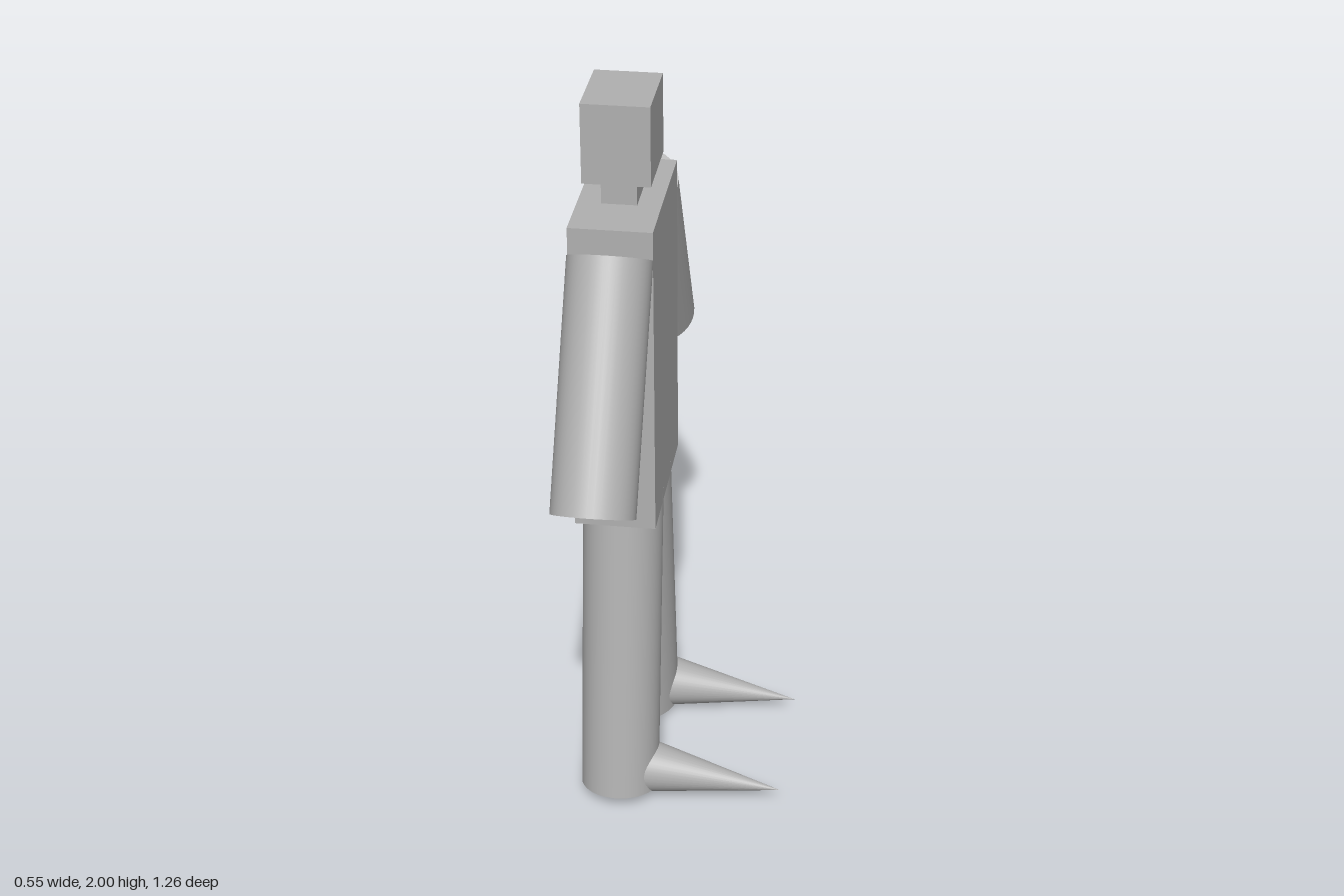
import * as THREE from 'three';

const CX = -0.174; // centre line of the figure, which walks toward +x

export function createModel() {
  const model = new THREE.Group();
  model.name = 'figure';
  const gray = new THREE.MeshStandardMaterial({ color: 0xb0b0b0 });
  gray.name = 'plain gray';

  // Upright box centred on the body axis, from y0 to y1
  function block(name, width, depth, y0, y1) {
    const mesh = new THREE.Mesh(new THREE.BoxGeometry(width, y1 - y0, depth), gray);
    mesh.name = name;
    mesh.position.set(CX, (y0 + y1) / 2, 0.006);
    model.add(mesh);
  }

  // Round limb running from one point to another
  function limb(name, from, to, rFrom, rTo) {
    const a = new THREE.Vector3(...from);
    const b = new THREE.Vector3(...to);
    const dir = b.clone().sub(a);
    const mesh = new THREE.Mesh(new THREE.CylinderGeometry(rTo, rFrom, dir.length(), 40), gray);
    mesh.name = name;
    mesh.position.copy(a).add(b).multiplyScalar(0.5);
    mesh.quaternion.setFromUnitVectors(new THREE.Vector3(0, 1, 0), dir.normalize());
    model.add(mesh);
  }

  // Torso, neck and head
  block('torso', 0.211, 0.425, 0.87, 1.72);
  block('neck', 0.09, 0.132, 1.715, 1.795);
  block('head', 0.172, 0.214, 1.79, 2.0);

  // Arms, legs and pointed feet on both sides
  for (const s of [1, -1]) {
    const side = s > 0 ? 'Near' : 'Far';
    limb('arm' + side, [CX, 1.648, s * 0.223], [CX, 1.103, s * 0.538], 0.106, 0.106);
    const ankle = 0.01 + s * 0.198;
    limb('leg' + side, [CX, 0.029, ankle], [CX, 0.909, ankle - s * 0.1315], 0.106, 0.106);
    limb('foot' + side, [-0.149, 0.086, 0.003 + s * 0.197], [0.27, 0.038, 0.002 + s * 0.208], 0.083, 0);
  }
  return model;
}
